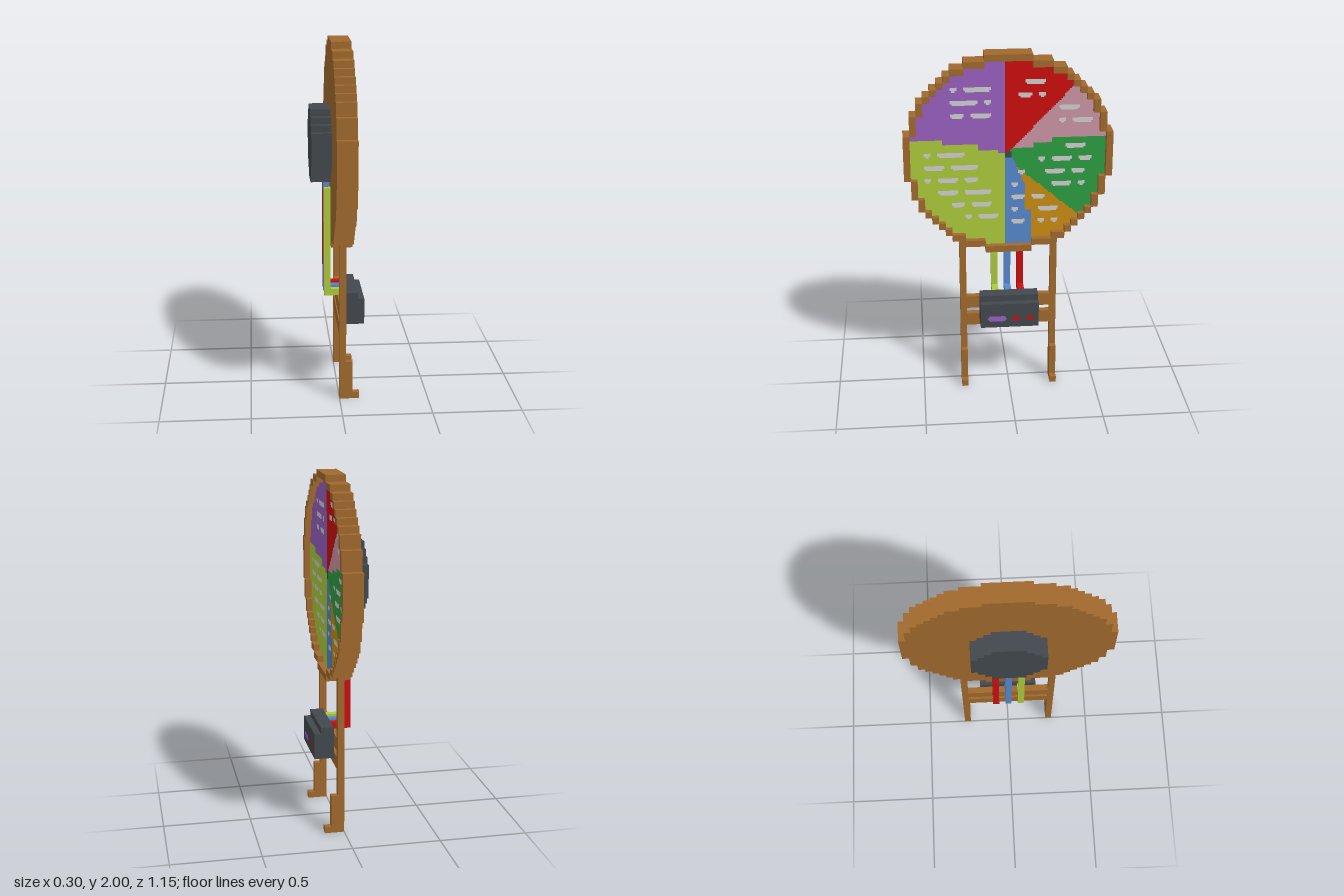
import * as THREE from 'three';

const V = 1 / 27;          // edge of one block
const HUB = 38.5;          // wheel centre height, in blocks
const R = 15.5;            // wheel radius, in blocks

const mat = (name, color) => {
  const m = new THREE.MeshStandardMaterial({ color });
  m.name = name;
  return m;
};

// Half width (in whole blocks either side of the middle) of a blocky disc at row d
const halfWidth = (r, d) => Math.abs(d) > r ? -1 : Math.floor(Math.sqrt(r * r - d * d));
const innerHalf = (d) => Math.min(halfWidth(R, d) - 1, halfWidth(R, Math.abs(d) + 1));

// Stepped circular slab lying across x, from x0 to x1 in blocks
function blockDisc(r, x0, x1) {
  const n = Math.floor(r), right = [], left = [];
  for (let d = -n; d <= n; d++) {
    const w = halfWidth(r, d) + 0.5;
    for (const y of [d - 0.5, d + 0.5]) {
      right.push(new THREE.Vector2(w, y));
      left.unshift(new THREE.Vector2(-w, y));
    }
  }
  // keep only the corners of the staircase
  const all = [...right, ...left];
  const pts = all.filter((p, i) => {
    const a = all[(i + all.length - 1) % all.length], b = all[(i + 1) % all.length];
    return !((a.x === p.x && b.x === p.x) || (a.y === p.y && b.y === p.y));
  });
  const g = new THREE.ExtrudeGeometry(new THREE.Shape(pts), { depth: x1 - x0, bevelEnabled: false });
  return g.rotateY(Math.PI / 2).translate(x0, HUB, 0);
}

// Label bars on the wheel: row height -> [start, length] pairs
const BARS = {
  11: [[3, 3]], 10: [[-8, 1], [-6, 4]], 9: [[2, 2], [5, 1]], 8: [[-8, 4], [-3, 1]],
  7: [[8, 3]], 6: [[-8, 2], [-5, 3]], 5: [[8, 1], [10, 3]], 1: [[9, 3]],
  0: [[-12, 1], [-10, 4]], '-1': [[5, 1], [7, 3], [11, 2]], '-2': [[-12, 3], [-8, 4]],
  '-3': [[2, 1], [6, 3], [10, 2]], '-4': [[-12, 1], [-10, 3], [-6, 2]],
  '-5': [[1, 1], [7, 3], [11, 1]], '-6': [[-10, 3], [-6, 4]], '-7': [[1, 2], [4, 2]],
  '-8': [[-8, 2], [-5, 3]], '-9': [[1, 1], [5, 3]], '-10': [[-6, 1], [-4, 3]],
  '-11': [[1, 2], [5, 1], [7, 1]],
};

function onBar(u, h) {
  for (const row in BARS) {
    const dy = Math.abs(h - row - 0.15);
    if (dy > 0.47) continue;
    const cut = dy > 0.25 ? 0.2 : 0;   // clipped corners
    for (const [s, len] of BARS[row]) {
      if (u > s - 0.47 + cut && u < s - 0.43 + len - cut) return true;
    }
  }
  return false;
}

// Colour of the wheel face; u runs towards -z, h upwards, both in blocks from the hub
function sectorAt(u, h) {
  if (onBar(u, h)) return 'lightGrey';
  if (u < -0.43) {
    const edge = u < -9.7 ? 2.6 : u < -4.4 ? 1.65 : u < -1.5 ? 0.7 : 0.3;
    return h > edge ? 'purple' : 'lime';
  }
  if (u < 0.6 && h > -0.4 && h < 0.4) return 'charcoal';
  if (h > Math.max(0.4, 0.9 + 1.055 * (u - 0.57))) return 'red';
  if (h > (u > 6.6 ? 2.6 : u > 3.8 ? 1.75 : 0.9)) return 'pink';
  const blueEdge = h > -9 ? Math.min(2.6, 0.6 + (-h - 0.4) * 0.43) : 3.55;
  if (h < 0 && u < blueEdge) return 'blue';
  return h > -2.3 - 0.85 * (u - 1.6) ? 'green' : 'orange';
}

// Paint the face as horizontal runs of small cells, one geometry per colour
function faceGeometries() {
  const N = 4, x = 2 - 0.94, out = {};
  for (let d = -14; d <= 14; d++) {
    const w = innerHalf(d) + 0.5, cells = 2 * w * N;
    for (let s = 0; s < N; s++) {
      const y0 = d - 0.5 + s / N, y1 = y0 + 1 / N, h = y0 + 0.5 / N;
      let start = 0;
      for (let c = 1; c <= cells; c++) {
        const colour = sectorAt(-w + (start + 0.5) / N, h);
        if (c < cells && sectorAt(-w + (c + 0.5) / N, h) === colour) continue;
        const za = w - start / N, zb = w - c / N, a = HUB + y0, b = HUB + y1;
        (out[colour] ??= []).push(x, a, za, x, a, zb, x, b, zb, x, a, za, x, b, zb, x, b, za);
        start = c;
      }
    }
  }
  return Object.entries(out).map(([colour, p]) => {
    const g = new THREE.BufferGeometry();
    g.setAttribute('position', new THREE.Float32BufferAttribute(p, 3));
    g.computeVertexNormals();
    return [colour, g];
  });
}

export function createModel() {
  const M = {
    wood: mat('wood', 0xa0692d), charcoal: mat('charcoal', 0x42484d),
    purple: mat('purple', 0x985fbe), lime: mat('lime', 0xabcb3b),
    blue: mat('blue', 0x5488cc), red: mat('red', 0xcc0e0e),
    pink: mat('pink', 0xcc94a4), green: mat('green', 0x2b9d40),
    orange: mat('orange', 0xc98c10), lightGrey: mat('lightGrey', 0xcfcfcf),
  };
  const model = new THREE.Group();
  model.name = 'wheelStand';
  const body = new THREE.Group();   // everything inside is measured in blocks
  body.name = 'body';
  body.scale.setScalar(V);
  model.add(body);

  const add = (name, geometry, colour, parent = body) => {
    const m = new THREE.Mesh(geometry, M[colour]);
    m.name = name;
    parent.add(m);
    return m;
  };
  const box = (name, colour, x0, x1, y0, y1, z0, z1, parent) =>
    add(name, new THREE.BoxGeometry(x1 - x0, y1 - y0, z1 - z0)
      .translate((x0 + x1) / 2, (y0 + y1) / 2, (z0 + z1) / 2), colour, parent);
  const group = (name) => {
    const g = new THREE.Group();
    g.name = name;
    body.add(g);
    return g;
  };

  // Wheel: solid drum, raised rim blocks and painted face
  add('wheelDrum', blockDisc(R, -1, 1), 'wood');
  const rim = group('wheelRim');
  for (let d = -15; d <= 15; d++) {
    const o = halfWidth(R, d) + 0.5, i = innerHalf(d) + 0.5, y = HUB + d;
    if (i < 0) { box('rimBlock', 'wood', 1, 2, y - 0.5, y + 0.5, -o, o, rim); continue; }
    box('rimBlock', 'wood', 1, 2, y - 0.5, y + 0.5, i, o, rim);
    box('rimBlock', 'wood', 1, 2, y - 0.5, y + 0.5, -o, -i, rim);
  }
  const face = group('wheelFace');
  for (const [colour, g] of faceGeometries()) add(colour + 'Sector', g, colour, face);

  // Motor housing behind the wheel
  add('motorHousing', blockDisc(5.5, -4, -1), 'charcoal');

  // Legs with stepped feet
  for (const z of [7, -7]) {
    const leg = group(z > 0 ? 'frontLeg' : 'rearLeg');
    box('post', 'wood', 0, 1, 0, 25, z - 0.5, z + 0.5, leg);
    box('brace', 'wood', 1, 2, 0, 6, z - 0.5, z + 0.5, leg);
    box('toe', 'wood', 2, 3, 0, 1, z - 0.5, z + 0.5, leg);
  }

  // Crossbars
  box('lowerCrossbar', 'wood', 0, 1, 10, 12, -6.5, 6.5);
  box('upperCrossbar', 'wood', 0, 1, 13, 15, -6.5, 6.5);

  // Cables from the motor, bending over the upper crossbar to the box
  for (const [colour, z, top] of [['lime', 2, 32], ['blue', 0, 33], ['red', -2, 32]]) {
    const cable = group(colour + 'Cable');
    box('run', colour, -2, -1, 15, top, z - 0.5, z + 0.5, cable);
    box('elbow', colour, -1, 1, 15, 16, z - 0.5, z + 0.5, cable);
  }

  // Control box with stepped top
  box('controlBox', 'charcoal', 1, 4, 11, 15, -4.5, 4.5);
  box('controlBoxTop', 'charcoal', 1, 3, 15, 16, -4.5, 4.5);

  // Display and buttons on the control box
  const plate = (name, colour, pts, shift = 0) => {
    const s = new THREE.Shape(pts.map(([u, y]) => new THREE.Vector2(u + shift, y)));
    add(name, new THREE.ShapeGeometry(s).rotateY(Math.PI / 2).translate(4.06, 0, 0), colour);
  };
  plate('display', 'purple', [[-3.45, 12.5], [-3.1, 12.05], [-0.8, 12.05], [-0.45, 12.5], [-0.8, 12.95], [-3.1, 12.95]]);
  for (const shift of [0, 2.15]) {
    plate('button', 'red', [[0.3, 12.5], [1, 12], [1.55, 12.2], [1.3, 12.5], [1.55, 12.8], [1, 13]], shift);
  }
  return model;
}
